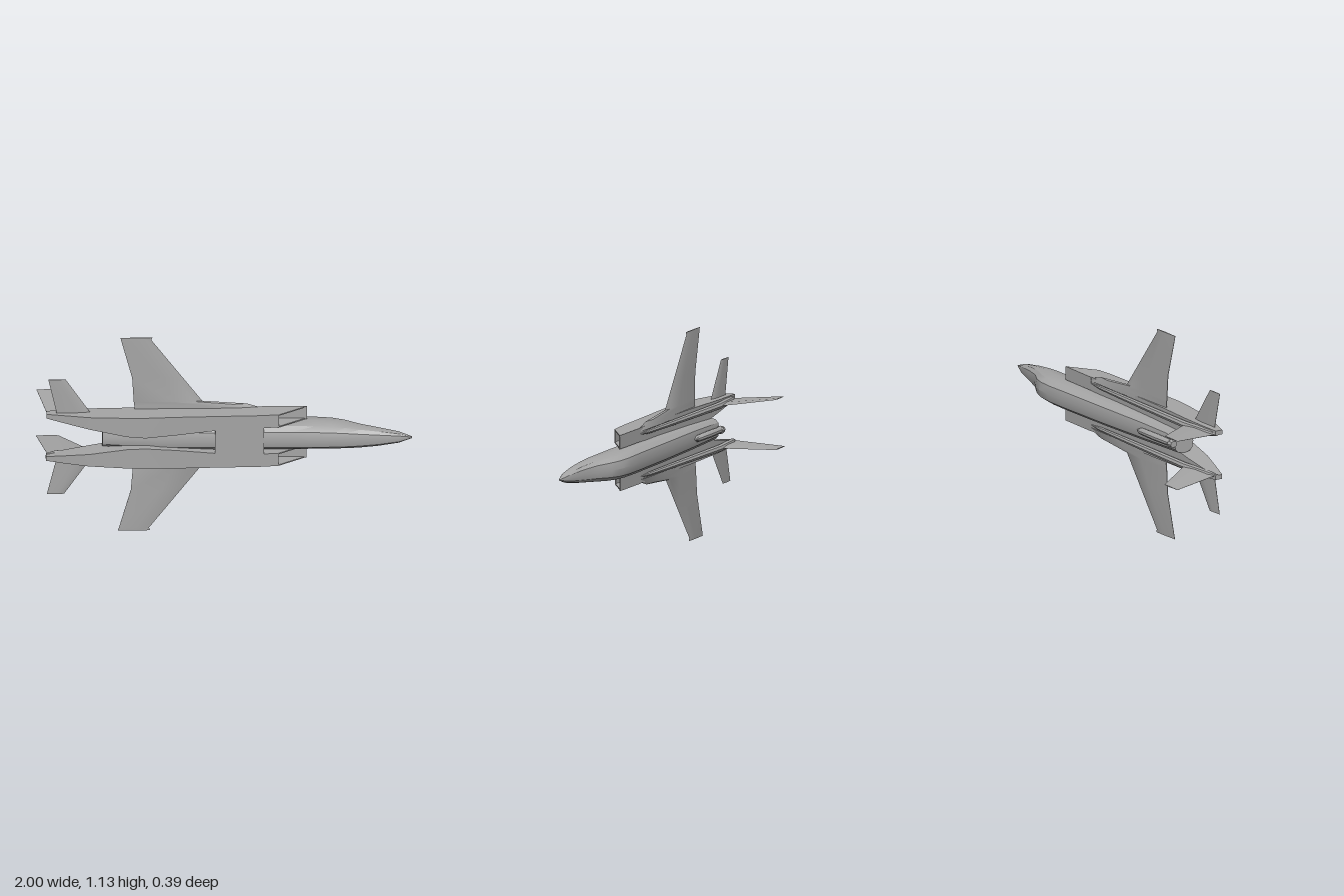
import * as THREE from 'three';
import { toCreasedNormals } from 'three/addons/utils/BufferGeometryUtils.js';

const grey = new THREE.MeshStandardMaterial({ color: 0xa6a6a6 });
grey.name = 'airframe grey';

// Skin a list of equal-length rings of [x, y, z] and cap both ends.
function loft(rings, crease = 0.5) {
  const tris = [];
  const n = rings[0].length;
  for (let i = 0; i < rings.length - 1; i++) {
    for (let j = 0; j < n; j++) {
      const k = (j + 1) % n;
      const [a, b, c, d] = [rings[i][j], rings[i][k], rings[i + 1][k], rings[i + 1][j]];
      tris.push([a, b, c], [a, c, d]);
    }
  }
  const last = rings[rings.length - 1];
  for (let j = 1; j < n - 1; j++) {
    tris.push([rings[0][0], rings[0][j + 1], rings[0][j]], [last[0], last[j], last[j + 1]]);
  }
  // Turn the faces outward whichever way the rings run.
  let volume = 0;
  for (const [a, b, c] of tris) {
    volume += a[0] * (b[1] * c[2] - b[2] * c[1]) + a[1] * (b[2] * c[0] - b[0] * c[2]) + a[2] * (b[0] * c[1] - b[1] * c[0]);
  }
  if (volume < 0) tris.forEach((t) => t.reverse());
  const geo = new THREE.BufferGeometry();
  geo.setAttribute('position', new THREE.Float32BufferAttribute(tris.flat(2), 3));
  geo.computeVertexNormals();
  return toCreasedNormals(geo, crease);
}

// Rounded ring across the body: x, half width, upper z, lower z.
function oval(x, w, z0, z1, y = 0, n = 12, power = 0.75) {
  const bend = (v) => Math.sign(v) * Math.abs(v) ** power;
  return Array.from({ length: n }, (_, i) => {
    const a = (i / n) * Math.PI * 2;
    return [x, y + w * bend(Math.cos(a)), (z0 + z1) / 2 + ((z1 - z0) / 2) * bend(Math.sin(a))];
  });
}

// Rectangular ring across the body.
const rect = (x, y0, y1, z0, z1) => [[x, y0, z0], [x, y1, z0], [x, y1, z1], [x, y0, z1]];

export function createModel() {
  const group = new THREE.Group();
  group.name = 'jetAircraft';
  const add = (name, geo) => {
    const mesh = new THREE.Mesh(geo, grey);
    mesh.name = name;
    group.add(mesh);
  };

  // Nose, cockpit hump and spine
  add('fuselage', loft([
    [1, 0.004, 0.08, 0.09], [0.93, 0.028, 0.056, 0.112], [0.82, 0.046, 0.032, 0.127],
    [0.72, 0.058, 0.003, 0.135], [0.64, 0.066, -0.04, 0.139], [0.57, 0.07, -0.062, 0.14],
    [0.48, 0.073, -0.068, 0.14], [0.35, 0.075, -0.06, 0.14], [0, 0.074, -0.038, 0.15],
    [-0.35, 0.07, -0.01, 0.155], [-0.65, 0.06, 0.012, 0.13],
  ].map((s) => oval(...s))));

  // Flat belly between the engine bodies
  add('bellyPlate', loft([rect(0.21, -0.08, 0.08, 0.08, 0.148), rect(-0.05, -0.08, 0.08, 0.08, 0.164)]));

  // Pod on the spine with a flared end collar
  add('spinePod', loft([
    [-0.33, 0.004, -0.022, -0.012], [-0.36, 0.018, -0.034, 0.01],
    [-0.5, 0.02, -0.03, 0.016], [-0.63, 0.018, -0.02, 0.018],
  ].map((s) => oval(...s, 0, 10, 1))));
  add('podCollar', loft([
    [-0.62, 0.016, -0.018, 0.02], [-0.635, 0.023, -0.026, 0.026], [-0.66, 0.018, -0.02, 0.02],
  ].map((s) => oval(...s, 0, 8, 1)), 0.2));

  for (const m of [1, -1]) {
    const side = m > 0 ? 'upper' : 'lower';

    // Engine body, waisted on the inside and tapering to the tail
    add(side + 'EngineBody', loft([
      [0.21, 0.075, 0.15, 0.03, 0.148], [-0.05, 0.066, 0.15, 0.042, 0.164],
      [-0.25, 0.045, 0.15, 0.046, 0.177], [-0.42, 0.031, 0.149, 0.05, 0.19],
      [-0.52, 0.037, 0.147, 0.052, 0.188], [-0.72, 0.073, 0.143, 0.056, 0.174],
      [-0.85, 0.095, 0.14, 0.065, 0.145], [-0.95, 0.112, 0.136, 0.078, 0.12],
    ].map(([x, a, b, c, d]) => rect(x, m * a, m * b, c, d)), 0.3));

    // Raked open intake made of four thin walls
    const wall = (y) => [[0.44, y, 0.022], [0.29, y, 0.135], [0.2, y, 0.148], [0.2, y, 0.028]];
    add(side + 'IntakeOuterWall', loft([wall(m * 0.144), wall(m * 0.15)]));
    add(side + 'IntakeInnerWall', loft([wall(m * 0.076), wall(m * 0.082)]));
    add(side + 'IntakeRoof', loft([rect(0.44, m * 0.076, m * 0.15, 0.022, 0.027), rect(0.2, m * 0.076, m * 0.15, 0.028, 0.036)]));
    add(side + 'IntakeFloor', loft([rect(0.29, m * 0.076, m * 0.15, 0.13, 0.136), rect(0.2, m * 0.076, m * 0.15, 0.138, 0.148)]));

    // Long slim boom carrying the fin
    add(side + 'TailBoom', loft([
      [0.2, 0.002, 0.03], [0.1, 0.012, 0.03], [-0.1, 0.015, 0.033], [-0.4, 0.018, 0.038],
      [-0.7, 0.02, 0.044], [-0.9, 0.018, 0.074], [-0.95, 0.008, 0.088],
    ].map(([x, r, z]) => oval(x, r, z - r, z + r, m * 0.115, 8, 1))));

    // Thin lens section in the wing plane
    const blade = (s, front, back, t) => [[0, 0], [0.12, 0.7], [0.4, 1], [1, 0.15], [1, -0.15], [0.4, -1], [0.12, -0.7]]
      .map(([u, v]) => {
        const x = front + (back - front) * u;
        return [x, m * s, 0.045 - 0.05 * x + (v * t) / 2];
      });
    add(side + 'Wing', loft([
      blade(0.13, 0.24, -0.48, 0.03), blade(0.17, 0.12, -0.482, 0.026), blade(0.19, -0.12, -0.485, 0.024),
      blade(0.33, -0.227, -0.495, 0.017), blade(0.55, -0.395, -0.556, 0.01), blade(0.565, -0.39, -0.56, 0.008),
    ]));

    // Tailplane
    add(side + 'Tailplane', loft([
      blade(0.12, -0.7, -0.9, 0.014), blade(0.145, -0.72, -0.897, 0.014), blade(0.335, -0.85, -0.942, 0.007),
    ].map((r) => r.map(([x, y, z]) => [x, y, z + 0.018]))));

    // Fin, leaning slightly outward
    const finRing = (front, back, zf, zb, y, t) => [[0, 0], [0.35, 1], [1, 0.1], [1, -0.1], [0.35, -1]]
      .map(([u, v]) => [front + (back - front) * u, m * (y + (v * t) / 2), zf + (zb - zf) * u]);
    add(side + 'Fin', loft([
      finRing(-0.7, -0.945, 0.045, 0.075, 0.114, 0.013),
      finRing(-0.715, -0.948, 0.02, 0.055, 0.116, 0.012),
      finRing(-0.88, -1, -0.2, -0.195, 0.135, 0.005),
    ]));
  }

  // Slight roll and yaw of the whole aircraft
  group.rotation.set(0.01, 0, -0.0115);
  group.position.y = 0.56;
  const root = new THREE.Group();
  root.name = 'model';
  root.add(group);
  return root;
}
